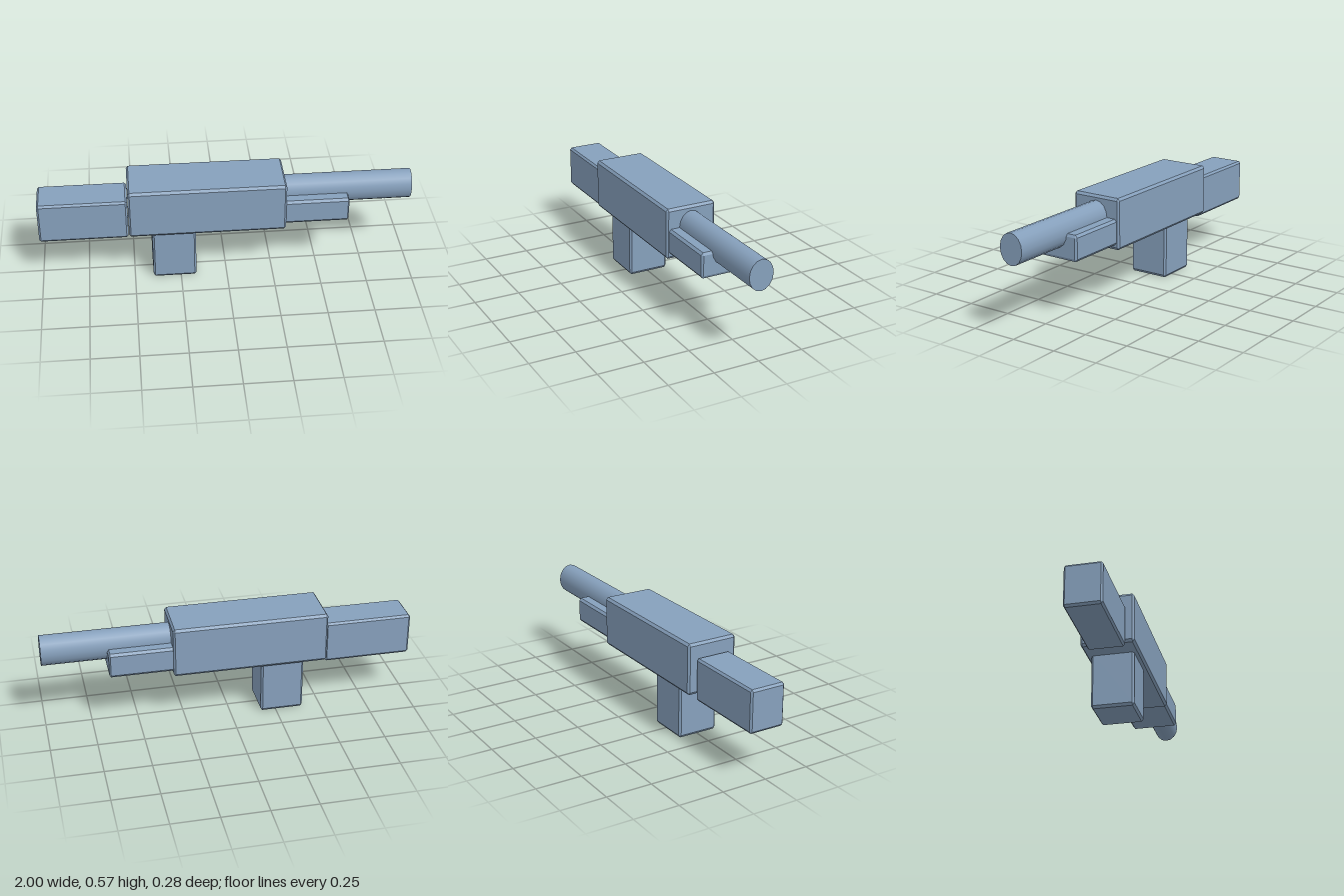
import * as THREE from 'three';
import { ConvexGeometry } from 'three/addons/geometries/ConvexGeometry.js';

const steel = new THREE.MeshStandardMaterial({ color: 0x86a0bc });
steel.name = 'blue grey steel';

// Box with every edge chamfered; ranges are [min, max], bevel is per axis
function chamferBox(name, [x0, x1], [y0, y1], halfZ, [bx, by, bz]) {
  const hx = (x1 - x0) / 2, hy = (y1 - y0) / 2, points = [];
  for (const sx of [-1, 1]) for (const sy of [-1, 1]) for (const sz of [-1, 1]) {
    points.push(
      new THREE.Vector3(sx * hx, sy * (hy - by), sz * (halfZ - bz)),
      new THREE.Vector3(sx * (hx - bx), sy * hy, sz * (halfZ - bz)),
      new THREE.Vector3(sx * (hx - bx), sy * (hy - by), sz * halfZ));
  }
  const mesh = new THREE.Mesh(new ConvexGeometry(points), steel);
  mesh.name = name;
  mesh.position.set((x0 + x1) / 2, (y0 + y1) / 2, 0);
  return mesh;
}

export function createModel() {
  const model = new THREE.Group();
  model.name = 'blaster';

  model.add(
    chamferBox('body', [-0.522, 0.316], [0.295, 0.573], 0.142, [0.01, 0.014, 0.011]),
    chamferBox('stock', [-1, -0.525], [0.263, 0.494], 0.098, [0.01, 0.012, 0.009]),
    chamferBox('grip', [-0.4, -0.166], [0, 0.32], 0.113, [0.01, 0.014, 0.01]),
    chamferBox('foreEnd', [0.28, 0.655], [0.322, 0.462], 0.128, [0.008, 0.014, 0.011]));

  // Barrel: slightly flattened cylinder lying along x
  const barrelGeometry = new THREE.CylinderGeometry(1, 1, 0.72, 16);
  barrelGeometry.rotateZ(-Math.PI / 2);
  barrelGeometry.scale(1, 0.0835, 0.068);
  const barrel = new THREE.Mesh(barrelGeometry, steel);
  barrel.name = 'barrel';
  barrel.position.set(0.64, 0.4615, 0);
  model.add(barrel);

  return model;
}
